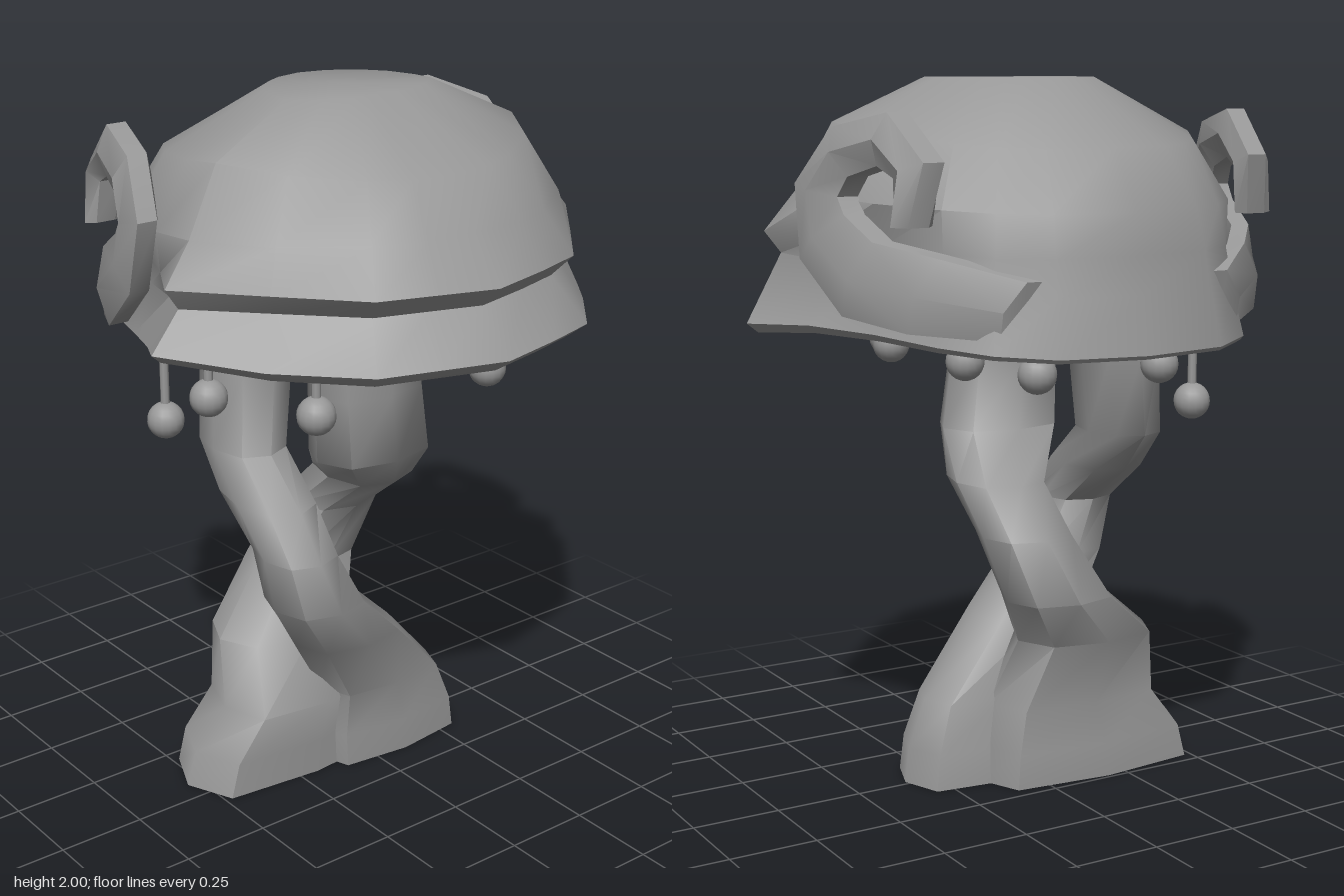
import * as THREE from 'three';
import { toCreasedNormals } from 'three/addons/utils/BufferGeometryUtils.js';

// Double sided because the trunks are open at the foot
const grey = new THREE.MeshStandardMaterial({ color: 0x999999, side: THREE.DoubleSide });
grey.name = 'grey';

// Skin a stack of closed rings (arrays of Vector3); caps are centre points, or none for open ends.
function loft(rings, crease, caps) {
  const n = rings[0].length, pos = [], idx = [];
  rings.forEach(r => r.forEach(p => pos.push(p.x, p.y, p.z)));
  const last = (rings.length - 1) * n, c0 = rings.length * n;
  if (caps) caps.forEach(c => pos.push(c.x, c.y, c.z));
  for (let j = 0; j < n; j++) {
    const k = (j + 1) % n;
    for (let i = 0; i < last; i += n) {
      idx.push(i + j, i + n + j, i + k, i + k, i + n + j, i + n + k);
    }
    if (caps) idx.push(c0, j, k, c0 + 1, last + k, last + j);
  }
  const g = new THREE.BufferGeometry();
  g.setAttribute('position', new THREE.Float32BufferAttribute(pos, 3));
  g.setIndex(idx);
  return toCreasedNormals(g, crease);
}

function addMesh(parent, name, geometry) {
  const m = new THREE.Mesh(geometry, grey);
  m.name = name;
  parent.add(m);
  return m;
}

// Trunk sections: x, y, z, half width in x, half width in z; boxier towards the foot
function trunk(sections) {
  const bend = (v, p) => Math.sign(v) * Math.abs(v) ** p;
  return loft(sections.map(([x, y, z, rx, rz]) =>
    Array.from({ length: 8 }, (_, j) => {
      const a = (j / 8) * Math.PI * 2, p = y < 0.3 ? 0.55 : 0.8;
      return new THREE.Vector3(x + rx * bend(Math.cos(a), p), y, z + rz * bend(Math.sin(a), p));
    })), 1.0);
}

// Canopy: pointed rim outline in plan under a rounder dome, with radial profiles blended around it
function canopy() {
  const half = [[0.69, 0.02], [0.635, 0.19], [0.58, 0.36], [0.37, 0.55], [0.15, 0.745], [-0.03, 0.645],
    [-0.24, 0.555], [-0.44, 0.48], [-0.57, 0.39], [-0.66, 0.25], [-0.69, 0]];
  const rim = [...half, ...half.slice(1, -1).reverse().map(([x, z]) => [x, -z])];
  const dome = rim.map(([x, z]) => {
    const a = Math.atan2(z / 0.64, x / 0.69);
    return [0.69 * Math.cos(a), 0.64 * Math.sin(a)];
  });
  // [fraction of outline radius, height]
  const right = [[0.92, 1.37], [1, 1.41], [0.84, 1.53], [0.935, 1.59], [0.78, 1.71], [0.64, 1.84], [0.2, 2]];
  const side = [[0.96, 1.36], [1, 1.385], [0.87, 1.53], [0.93, 1.59], [0.96, 1.7], [0.8, 1.88], [0.39, 2]];
  const left = [[0.99, 1.29], [1, 1.3], [0.95, 1.45], [0.92, 1.55], [0.91, 1.66], [0.76, 1.82], [0.33, 2]];
  const rings = right.map((_, i) => rim.map(([x, z], j) => {
    const reach = i < 2 ? 0.84 : 0.75;
    const [to, t] = x > 0.15 ? [right, (x - 0.15) / 0.54] : [left, Math.min(1, (0.15 - x) / reach)];
    const f = THREE.MathUtils.lerp(side[i][0], to[i][0], t);
    const tilt = i < 2 ? 0.06 * z * (1 - t) ** 3 : 0;
    const [px, pz] = i < 4 ? [x, z] : dome[j];
    return new THREE.Vector3(px * f, THREE.MathUtils.lerp(side[i][1], to[i][1], t) + tilt, pz * f);
  }));
  return loft(rings, 0.75, [new THREE.Vector3(0, 1.385, 0), new THREE.Vector3(-0.05, 2, 0)]);
}

// Curl: tapering ribbon growing out of the canopy wall; sign mirrors it in z
function curl(sign) {
  // x, y, half width
  const path = [[-0.58, 1.42, 0.08], [-0.43, 1.455, 0.1], [-0.27, 1.49, 0.11], [-0.13, 1.59, 0.1],
    [-0.095, 1.71, 0.085], [-0.17, 1.81, 0.075], [-0.32, 1.845, 0.07], [-0.42, 1.77, 0.055], [-0.41, 1.63, 0.025]];
  // Leaning plane whose lower left corner sinks into the wall
  const at = (x, y, d) => new THREE.Vector3(x, y, sign * (0.515 + 0.29 * (x + 0.47) - 0.1 * (y - 1.65)
    - (y < 1.6 ? 0.9 * Math.max(0, -0.36 - x) : 0) + d));
  const rings = path.map(([x, y, w], i) => {
    const a = path[Math.max(0, i - 1)], b = path[Math.min(path.length - 1, i + 1)];
    const t = new THREE.Vector2(b[0] - a[0], b[1] - a[1]).normalize();
    const ring = Array.from({ length: 6 }, (_, j) => {
      const ang = ((j + 0.5) / 6) * Math.PI * 2;
      const u = Math.cos(ang) * w * 1.12;
      return at(x + t.y * u, y - t.x * u, Math.sin(ang) * 0.06);
    });
    return sign > 0 ? ring : ring.reverse();
  });
  const end = path[path.length - 1];
  return loft(rings, 0.75, [at(path[0][0], path[0][1], 0), at(end[0], end[1], 0)]);
}

export function createModel() {
  const model = new THREE.Group();
  model.name = 'twistedTree';

  addMesh(model, 'canopy', canopy());
  addMesh(model, 'frontCurl', curl(1));
  addMesh(model, 'backCurl', curl(-1));

  // Trunk that rises from the front root
  addMesh(model, 'frontRootTrunk', trunk([
    [-0.07, 0, 0.19, 0.17, 0.35], [-0.07, 0.1, 0.18, 0.17, 0.33], [-0.06, 0.22, 0.15, 0.165, 0.26],
    [-0.115, 0.41, 0.17, 0.15, 0.215], [-0.215, 0.56, 0.02, 0.13, 0.16], [-0.17, 0.74, -0.06, 0.13, 0.13],
    [-0.02, 0.87, -0.065, 0.15, 0.125], [0.13, 1.0, 0.03, 0.13, 0.18], [0.15, 1.2, 0.06, 0.12, 0.17],
    [0.15, 1.42, 0.07, 0.12, 0.17]]));

  // Trunk that rises from the back root and winds round the other
  addMesh(model, 'backRootTrunk', trunk([
    [0.015, 0, -0.1, 0.14, 0.245], [0.02, 0.1, -0.09, 0.135, 0.24], [0.035, 0.23, -0.07, 0.115, 0.2],
    [0.1, 0.44, 0.1, 0.13, 0.17], [0.15, 0.6, 0.24, 0.13, 0.135], [0.145, 0.76, 0.3, 0.12, 0.105],
    [0.01, 0.88, 0.295, 0.16, 0.105], [-0.13, 1.0, 0.28, 0.14, 0.1], [-0.165, 1.23, 0.24, 0.14, 0.11],
    [-0.15, 1.42, 0.2, 0.14, 0.11]]));

  // Balls hanging on stems under the canopy
  const ball = new THREE.SphereGeometry(0.053, 16, 12);
  [[-0.23, 1.08, 0.47], [-0.01, 1.21, 0.47], [0.34, 1.24, 0.37], [-0.42, 1.23, 0.22],
    [-0.42, 1.23, -0.17], [0.34, 1.245, -0.22], [0.18, 1.25, -0.29], [-0.23, 1.25, -0.28]].forEach(([x, y, z]) => {
    const hanger = new THREE.Group();
    hanger.name = 'hangingBall';
    hanger.position.set(x, y, z);
    const length = 1.39 - y;
    addMesh(hanger, 'ball', ball);
    addMesh(hanger, 'stem', new THREE.CylinderGeometry(0.013, 0.013, length, 8)).position.y = length / 2;
    model.add(hanger);
  });
  return model;
}
